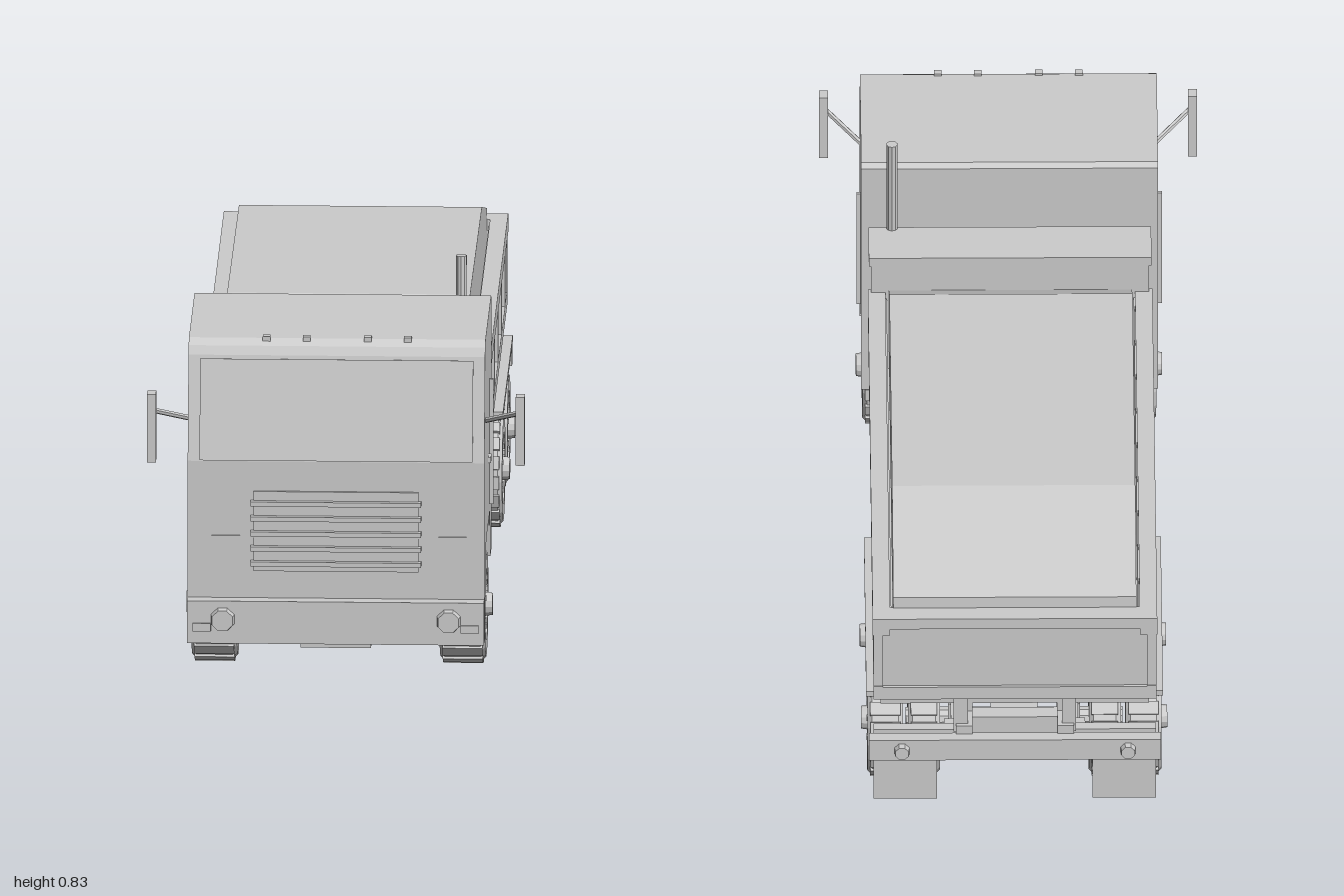
import * as THREE from 'three';

const mat = new THREE.MeshStandardMaterial({ color: 0xcccccc, flatShading: true, side: THREE.DoubleSide });

export function createModel() {
  const model = new THREE.Group();
  model.name = 'dumpTruck';

  const add = (name, geo, parent = model) => {
    const m = new THREE.Mesh(geo, mat);
    m.name = name;
    parent.add(m);
    return m;
  };
  // Box given by its limits on each axis
  const box = (name, x0, x1, y0, y1, z0, z1, parent) => add(name,
    new THREE.BoxGeometry(Math.abs(x1 - x0), y1 - y0, Math.abs(z1 - z0))
      .translate((x0 + x1) / 2, (y0 + y1) / 2, (z0 + z1) / 2), parent);
  // Side profile of [z, y] points, extruded across the width
  const profile = (name, pts, x0, x1) => {
    const shape = new THREE.Shape(pts.map(p => new THREE.Vector2(p[0], p[1])));
    const g = new THREE.ExtrudeGeometry(shape, { depth: x1 - x0, bevelEnabled: false });
    return add(name, g.rotateY(-Math.PI / 2).translate(x1, 0, 0));
  };
  // Round rod between two points
  const rod = (name, a, b, r, sides = 8) => {
    const A = new THREE.Vector3(...a), B = new THREE.Vector3(...b), d = B.clone().sub(A);
    const m = add(name, new THREE.CylinderGeometry(r, r, d.length(), sides));
    m.position.copy(A).add(B).multiplyScalar(0.5);
    m.quaternion.setFromUnitVectors(new THREE.Vector3(0, 1, 0), d.normalize());
    return m;
  };

  // Cab body with wheel arches
  profile('cab', [[0.51, 0.19], [0.57, 0.19], [0.58, 0.26], [0.61, 0.3], [0.83, 0.3], [0.86, 0.27], [0.86, 0.19],
    [0.955, 0.19], [0.955, 0.5], [0.905, 0.72], [0.895, 0.738], [0.875, 0.75], [0.52, 0.75], [0.51, 0.74]], -0.315, 0.315);
  // Windscreen lies on the sloping front
  const screen = box('windscreen', -0.29, 0.29, -0.108, 0.108, -0.002, 0.002);
  screen.position.set(0, 0.607, 0.932);
  screen.rotation.x = -Math.atan2(0.05, 0.22);
  box('frontPanelSeam', -0.315, 0.315, 0.333, 0.337, 0.95, 0.957);

  // Grille
  box('grillePanel', -0.175, 0.175, 0.26, 0.435, 0.95, 0.96);
  for (let i = 0; i < 5; i++) {
    const y = 0.278 + i * 0.033;
    box('grilleSlat', -0.181, 0.181, y - 0.005, y + 0.005, 0.95, 0.972);
  }
  // Front bumper
  box('frontBumper', -0.315, 0.315, 0.107, 0.2, 0.94, 0.985);
  box('bumperStep', -0.075, 0.075, 0.098, 0.11, 0.94, 0.98);
  for (const x of [-0.15, -0.065, 0.065, 0.15]) box('roofLight', x - 0.008, x + 0.008, 0.745, 0.755, 0.868, 0.884);

  // Exhaust stack
  rod('exhaustLower', [0.25, 0.2, 0.497], [0.25, 0.58, 0.483], 0.016, 10);
  rod('exhaustUpper', [0.25, 0.55, 0.485], [0.25, 0.825, 0.473], 0.012, 10);

  // Chassis cross members
  for (const z of [0.85, 0.48, 0.12, -0.2, -0.54, -0.88]) box('crossMember', -0.1, 0.1, 0.2, 0.245, z - 0.02, z + 0.02);
  box('engineSump', -0.08, 0.08, 0.14, 0.24, 0.5, 0.66);
  rod('driveShaft', [0, 0.17, 0.5], [0, 0.13, -0.7], 0.014);
  rod('tippingRam', [0, 0.25, 0.3], [0, 0.275, -0.6], 0.012);

  // Dump bed
  box('bedFloor', -0.285, 0.285, 0.28, 0.335, 0.385, -0.9);
  box('headboard', -0.295, 0.295, 0.33, 0.61, 0.36, 0.395);
  box('cabGuard', -0.3, 0.3, 0.59, 0.61, 0.36, 0.485);
  box('tailgate', -0.29, 0.29, 0.33, 0.515, -0.925, -0.95);
  box('tailgateRim', -0.3, 0.3, 0.5, 0.525, -0.91, -0.957);
  box('tailgateSill', -0.29, 0.29, 0.325, 0.355, -0.9, -0.957);
  // Heaped load
  profile('load', [[0.36, 0.4], [0.36, 0.53], [0.15, 0.65], [-0.6, 0.637], [-0.91, 0.55], [-0.92, 0.4]], -0.258, 0.258);

  // Rear bumper
  box('rearBumper', -0.31, 0.31, 0.19, 0.24, -0.955, -0.985);

  // Parts mirrored left and right
  for (const s of [1, -1]) {
    const sbox = (name, x0, x1, ...rest) => box(name, s * x0, s * x1, ...rest);

    sbox('chassisRail', 0.09, 0.125, 0.19, 0.26, 0.92, -0.96);
    sbox('subframeRail', 0.09, 0.12, 0.255, 0.285, 0.36, -0.9);
    // Cab details
    sbox('grabRail', 0.314, 0.324, 0.325, 0.6, 0.636, 0.644);
    sbox('doorHandle', 0.314, 0.321, 0.434, 0.446, 0.68, 0.71);
    sbox('mirror', 0.382, 0.401, 0.5, 0.65, 0.942, 0.972);
    rod('mirrorArm', [s * 0.31, 0.573, 0.88], [s * 0.385, 0.61, 0.955], 0.006, 6);
    // Lamps
    const lamp = (name, y, z, r) => {
      const g = new THREE.CylinderGeometry(r * 0.85, r, 0.02, 8).rotateY(Math.PI / 8).rotateX(z > 0 ? Math.PI / 2 : -Math.PI / 2);
      add(name, g.translate(s * 0.24, y, z));
    };
    lamp('headlight', 0.16, 0.99, 0.028);
    lamp('tailLight', 0.215, -0.99, 0.018);
    sbox('indicator', 0.265, 0.304, 0.134, 0.151, 0.98, 0.989);

    // Bed side wall: plate, rails and posts
    sbox('sideWall', 0.262, 0.29, 0.33, 0.51, 0.37, -0.94);
    sbox('sideTopRail', 0.265, 0.302, 0.485, 0.525, 0.372, -0.957);
    sbox('sideBottomRail', 0.28, 0.3, 0.325, 0.357, 0.39, -0.957);
    sbox('endPost', 0.28, 0.3, 0.33, 0.5, 0.37, 0.392);
    for (let i = 0; i < 6; i++) {
      const z = 0.28 - i * 0.223;
      sbox('sidePost', 0.28, 0.3, 0.35, 0.49, z - 0.011, z + 0.011);
    }
    sbox('endPost', 0.28, 0.3, 0.33, 0.5, -0.935, -0.955);
    sbox('hingeBracket', 0.1, 0.13, 0.24, 0.335, -0.895, -0.95);

    // Rear wheel cover and mud flap
    sbox('mudguard', 0.16, 0.315, 0.272, 0.285, -0.24, -0.86);
    sbox('mudFlap', 0.165, 0.3, 0.03, 0.2, -0.872, -0.88);
    sbox('flapBracket', 0.12, 0.3, 0.19, 0.205, -0.86, -0.885);

    // Tank, tool box and side guard
    profile('tank', [[0.4, 0.14], [0.385, 0.12], [0.205, 0.12], [0.19, 0.14], [0.19, 0.205], [0.205, 0.22], [0.385, 0.22], [0.4, 0.205]],
      s > 0 ? 0.13 : -0.255, s > 0 ? 0.255 : -0.13);
    sbox('toolBox', 0.13, 0.24, 0.135, 0.185, 0.085, 0.19);
    sbox('guardBar', 0.275, 0.288, 0.107, 0.125, 0.4, 0.03);
    sbox('guardUpperBar', 0.265, 0.278, 0.215, 0.235, 0.4, 0.08);
    for (const z of [0.38, 0.08]) sbox('guardArm', 0.12, 0.285, 0.2, 0.212, z - 0.008, z + 0.008);

    // Leaf springs
    sbox('rearSpring', 0.1, 0.135, 0.16, 0.18, -0.2, -0.86);
    sbox('frontSpring', 0.1, 0.135, 0.155, 0.18, 0.86, 0.57);
    for (const z of [0.86, 0.57, -0.21, -0.54, -0.85]) sbox('springHanger', 0.095, 0.15, 0.155, 0.2, z - 0.018, z + 0.018);
  }

  // Tyre with flat disc faces and cross treads
  const tyre = (parent, x0, x1) => {
    const h = (x1 - x0) / 2, r = 0.122;
    const pts = [[0, -h + 0.012], [0.07, -h + 0.012], [0.078, -h], [r - 0.01, -h], [r, -h + 0.01],
      [r, h - 0.01], [r - 0.01, h], [0.078, h], [0.07, h - 0.012], [0, h - 0.012]].map(p => new THREE.Vector2(...p));
    add('tyre', new THREE.LatheGeometry(pts, 18).rotateZ(-Math.PI / 2).translate((x0 + x1) / 2, 0, 0), parent);
    for (let i = 0; i < 18; i++) {
      const g = new THREE.BoxGeometry(2 * h - 0.012, 0.01, 0.028).translate((x0 + x1) / 2, 0.12, 0);
      add('tread', g.rotateX((i + 0.5) * Math.PI / 9), parent);
    }
  };

  const axles = [['front', 0.715, [[0.215, 0.312]]], ['middle', -0.375, [[0.158, 0.226], [0.236, 0.312]]],
    ['rear', -0.705, [[0.158, 0.226], [0.236, 0.312]]]];
  for (const [name, z, tyres] of axles) {
    for (const s of [1, -1]) {
      const wheel = new THREE.Group();
      wheel.name = name + 'Wheel';
      wheel.position.set(0, 0.125, z);
      if (s < 0) wheel.rotation.y = Math.PI;
      for (const [a, b] of tyres) tyre(wheel, a, b);
      add('hub', new THREE.CylinderGeometry(0.024, 0.03, 0.04, 12).rotateZ(-Math.PI / 2).translate(0.305, 0, 0), wheel);
      for (let i = 0; i < 6; i++) {
        const a = i * Math.PI / 3;
        add('wheelNut', new THREE.BoxGeometry(0.022, 0.01, 0.01).translate(0.302, 0.048 * Math.cos(a), 0.048 * Math.sin(a)), wheel);
      }
      model.add(wheel);
    }
    rod(name + 'Axle', [-0.23, 0.125, z], [0.23, 0.125, z], 0.022, 10);
    box(name + 'AxleHousing', -0.05, 0.05, 0.085, 0.165, z - 0.045, z + 0.045);
    for (const s of [1, -1]) box('springSeat', s * 0.095, s * 0.14, 0.11, 0.175, z - 0.03, z + 0.03);
  }

  return model;
}
